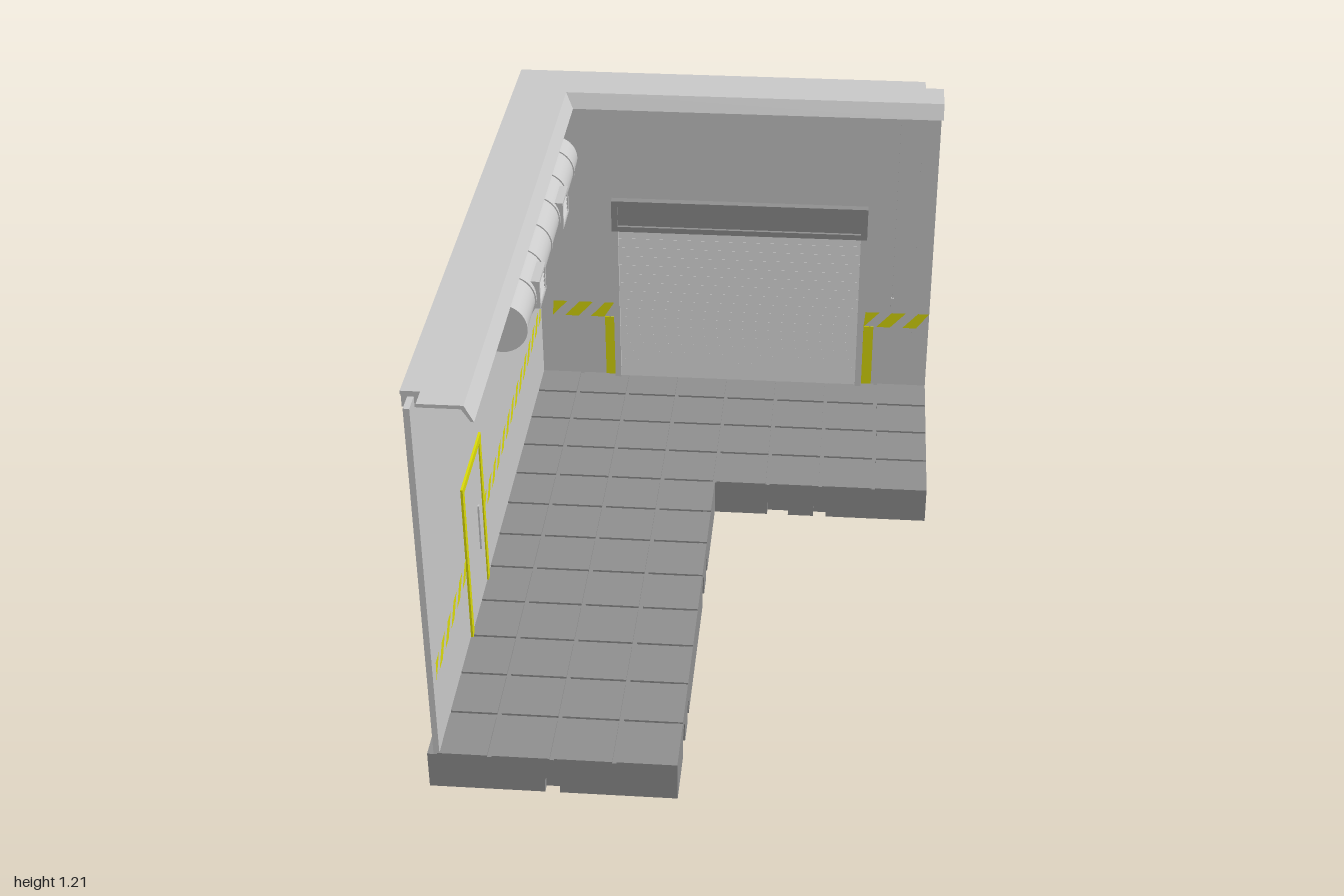
import * as THREE from 'three';

const W = 0.667;        // half width of the room
const STEP = -0.335;    // front edge of the short wing
const grey = new THREE.MeshStandardMaterial({ color: 0xcccccc });
const dark = new THREE.MeshStandardMaterial({ color: 0x919191 });
const yellow = new THREE.MeshStandardMaterial({ color: 0xdddd0a, side: THREE.DoubleSide });

function add(parent, name, geo, mat = grey) {
  const m = new THREE.Mesh(geo, mat);
  m.name = name;
  parent.add(m);
  return m;
}

// Box given by its limits
function box(parent, name, [x0, x1], [y0, y1], [z0, z1], mat) {
  const m = add(parent, name, new THREE.BoxGeometry(x1 - x0, y1 - y0, z1 - z0), mat);
  m.position.set((x0 + x1) / 2, (y0 + y1) / 2, (z0 + z1) / 2);
  return m;
}

const shapeOf = pts => new THREE.Shape(pts.map(p => new THREE.Vector2(...p)));
const extrude = (shape, depth) =>
  new THREE.ExtrudeGeometry(shape, { depth, bevelEnabled: false, curveSegments: 8 });

// Horizontal slab from an outline in x and z
function slab(parent, name, pts, top, height, mat) {
  const g = extrude(shapeOf(pts), height);
  g.rotateX(Math.PI / 2);
  g.translate(0, top, 0);
  return add(parent, name, g, mat);
}

// Side face of the base with arched drain openings [u, radius, top]
function facade(parent, angle, offset, u0, u1, arches) {
  const s = new THREE.Shape();
  s.moveTo(u0, 0);
  for (const [u, r, top] of arches.sort((a, b) => a[0] - b[0])) {
    s.lineTo(u - r, 0);
    s.lineTo(u - r, top - r);
    s.absarc(u, top - r, r, Math.PI, 0, true);
    s.lineTo(u + r, 0);
  }
  s.lineTo(u1, 0);
  s.lineTo(u1, 0.112);
  s.lineTo(u0, 0.112);
  const g = extrude(s, 0.025);
  g.translate(0, 0, offset - 0.025);
  add(parent, 'baseSide', g, dark).rotation.y = angle;
}

function makeBase() {
  const base = new THREE.Group();
  base.name = 'floorBase';
  const t = 0.024, a = W - t, b = 1 - t;
  slab(base, 'baseCore', [[-a, -b], [a, -b], [a, STEP - t], [-t, STEP - t], [-t, b], [-a, b]], 0.111, 0.111, dark);
  const big = u => [u, 0.033, 0.077], small = u => [u, 0.02, 0.056];
  const q = Math.PI / 2;
  facade(base, 0, 1, -W, 0, [small(-0.335)]);
  facade(base, 0, STEP, -0.025, W, [big(0.2), small(0.333)]);
  facade(base, q, 0, -1, -STEP, [big(-0.8), small(-0.67), big(-0.13), small(0)]);
  facade(base, q, W, -STEP, 1, [small(0.667)]);
  facade(base, 2 * q, 1, -W, W, [big(-0.2)]);
  facade(base, -q, W, -1, 1, [big(0.13), big(0.8)]);

  // Floor tiles over the L-shaped plan
  const p = W / 4, gap = 0.006;
  for (let i = 0; i < 8; i++) for (let j = 0; j < 12; j++) {
    const x = -W + i * p, z = -1 + j * p;
    if (i > 3 && j > 3) continue;
    box(base, 'floorTile', [i ? x + gap : -0.64, x + p - (i === 7 || (i === 3 && j > 3) ? 0 : gap)], [0.105, 0.117],
      [j ? z + gap : -0.97, z + p - (j === 11 || (j === 3 && i > 3) ? 0 : gap)], dark);
  }
  return base;
}

// Band of slanted hazard stripes between u0 and u1
function hazardBand(parent, u0, u1) {
  const c = u => Math.min(u1, Math.max(u0, u));
  for (let u = u0 - 0.045; u < u1; u += 0.087) {
    const g = new THREE.ShapeGeometry(shapeOf(
      [[c(u), 0.34], [c(u + 0.046), 0.34], [c(u + 0.096), 0.395], [c(u + 0.05), 0.395]]));
    g.translate(0, 0, 0.003);
    add(parent, 'hazardStripe', g, yellow);
  }
}

// Wall panel, inner face at local z = 0, with a taller post at its free end
function makeWall(name, u0, u1, free) {
  const g = new THREE.Group();
  g.name = name;
  box(g, 'wallPanel', [u0, u1], [0.08, 1.166], [-0.015, 0]);
  box(g, 'endPost', free > 0 ? [u1 - 0.055, u1 + 0.001] : [u0 - 0.001, u0 + 0.055], [0.08, 1.195], [-0.0155, 0.0005]);
  return g;
}

function makeShutter() {
  const g = new THREE.Group();
  g.name = 'rollerShutter';
  for (const x of [-0.385, 0.43]) box(g, 'guideRail', [x, x + 0.02], [0.112, 0.676], [0, 0.02]);
  const n = 17, h = 0.56 / n;
  for (let i = 0; i < n; i++) {
    const y = 0.115 + i * h;
    box(g, 'slat', [-0.365, 0.43], [y, y + h - 0.003], [-0.002, 0.008]).rotation.x = -0.2;
  }
  // Housing with a recessed front panel
  const s = shapeOf([[-0.385, 0.675], [0.45, 0.675], [0.45, 0.785], [-0.385, 0.785]]);
  s.holes.push(new THREE.Path([[-0.365, 0.693], [-0.365, 0.766], [0.43, 0.766], [0.43, 0.693]]
    .map(p => new THREE.Vector2(...p))));
  add(g, 'housingFrame', extrude(s, 0.026), dark);
  box(g, 'housingPanel', [-0.37, 0.435], [0.69, 0.77], [0, 0.016], dark);
  return g;
}

function makeDoor() {
  const g = new THREE.Group();
  g.name = 'door';
  box(g, 'doorLeaf', [-0.48, -0.235], [0.112, 0.6], [0, 0.002]);
  for (const u of [-0.505, -0.235]) box(g, 'doorPost', [u, u + 0.025], [0.112, 0.622], [0, 0.006], yellow);
  box(g, 'doorLintel', [-0.505, -0.21], [0.6, 0.622], [0, 0.0065], yellow);
  box(g, 'doorHandle', [-0.305, -0.295], [0.28, 0.43], [0, 0.007]);
  return g;
}

function makeDuct() {
  const g = new THREE.Group();
  g.name = 'ventDuct';
  g.position.set(-0.566, 0.925, 0);
  const tube = (name, r, z0, z1) => {
    const geo = new THREE.CylinderGeometry(r, r, z1 - z0, 32);
    geo.rotateX(Math.PI / 2);
    add(g, name, geo).position.z = (z0 + z1) / 2;
  };
  tube('ductPipe', 0.073, -0.97, 0.14);
  for (let i = 0; i < 7; i++) tube('ductRing', 0.077, 0.132 - i * 0.167, 0.142 - i * 0.167);
  // Louvred outlets
  for (const z of [-0.113, -0.61]) {
    const s = shapeOf([[-0.06, -0.044], [0.06, -0.044], [0.06, 0.044], [-0.06, 0.044]]);
    s.holes.push(new THREE.Path([[-0.048, -0.034], [-0.048, 0.034], [0.048, 0.034], [0.048, -0.034]]
      .map(p => new THREE.Vector2(...p))));
    const frame = add(g, 'outletFrame', extrude(s, 0.045));
    frame.rotation.y = Math.PI / 2;
    frame.position.set(0.038, 0, z);
    for (let i = -2; i <= 2; i++)
      box(g, 'louvre', [0.055, 0.081], [i * 0.014 - 0.003, i * 0.014 + 0.003], [z - 0.05, z + 0.05]).rotation.z = -0.3;
  }
  return g;
}

// Mitred bar following both walls; profile is [distance from outer edge, y]
function mitredBar(profile) {
  const rings = [d => [W, -1 + d], d => [-W + d, -1 + d], d => [-W + d, 1]]
    .map(f => profile.map(([d, y]) => { const [x, z] = f(d); return [x, y, z]; }));
  const pos = [], n = profile.length;
  const quad = (a, b, c, d) => pos.push(...a, ...b, ...c, ...a, ...c, ...d);
  for (let s = 0; s < 2; s++) for (let i = 0; i < n; i++) {
    const j = (i + 1) % n;
    quad(rings[s][i], rings[s][j], rings[s + 1][j], rings[s + 1][i]);
  }
  quad(...[...rings[0]].reverse());
  quad(...rings[2]);
  const g = new THREE.BufferGeometry();
  g.setAttribute('position', new THREE.Float32BufferAttribute(pos, 3));
  g.computeVertexNormals();
  return g;
}

function makeCornice() {
  const g = new THREE.Group();
  g.name = 'topTrim';
  const e = 0.056, d = 0.05, w = 0.165;
  // Top plate, notched at both free ends
  slab(g, 'trimPlate', [[-W, -1], [W - e, -1], [W - e, -1 + d], [W, -1 + d], [W, -1 + w], [-W + w, -1 + w],
    [-W + w, 1], [-W + d, 1], [-W + d, 1 - e], [-W, 1 - e]], 1.21, 0.01);
  add(g, 'slantedLip', mitredBar([[0.165, 1.21], [0.158, 1.2], [0.18, 1.165], [0.188, 1.165]]));
  // Outer lips stop short of the corner
  box(g, 'outerLipBack', [-0.5, W - e], [1.165, 1.2], [-0.998, -0.953]);
  box(g, 'outerLipLeft', [-W + 0.002, -0.62], [1.165, 1.2], [-0.835, 1 - e]);
  return g;
}

export function createModel() {
  const model = new THREE.Group();
  model.name = 'garageCorner';
  model.add(makeBase(), makeDuct(), makeCornice());

  const back = makeWall('backWall', -0.645, W - 0.001, 1);
  back.position.z = -0.966;
  back.add(makeShutter());
  hazardBand(back, -0.595, -0.386);
  hazardBand(back, 0.451, 0.666);
  box(back, 'yellowPost', [-0.418, -0.386], [0.112, 0.34], [0, 0.003], yellow);
  box(back, 'yellowPost', [0.451, 0.484], [0.112, 0.34], [0, 0.003], yellow);
  // Pull cord beside the shutter
  box(back, 'pullCord', [0.541, 0.545], [0.44, 1.17], [0.005, 0.009]);
  box(back, 'cordHandle', [0.538, 0.548], [0.41, 0.455], [0.002, 0.012]);
  model.add(back);

  // Left wall: local x runs toward the back
  const side = makeWall('sideWall', -0.999, 0.966, -1);
  side.rotation.y = Math.PI / 2;
  side.position.x = -0.634;
  side.add(makeDoor());
  hazardBand(side, -0.97, -0.505);
  hazardBand(side, -0.21, 0.93);
  model.add(side);
  return model;
}
